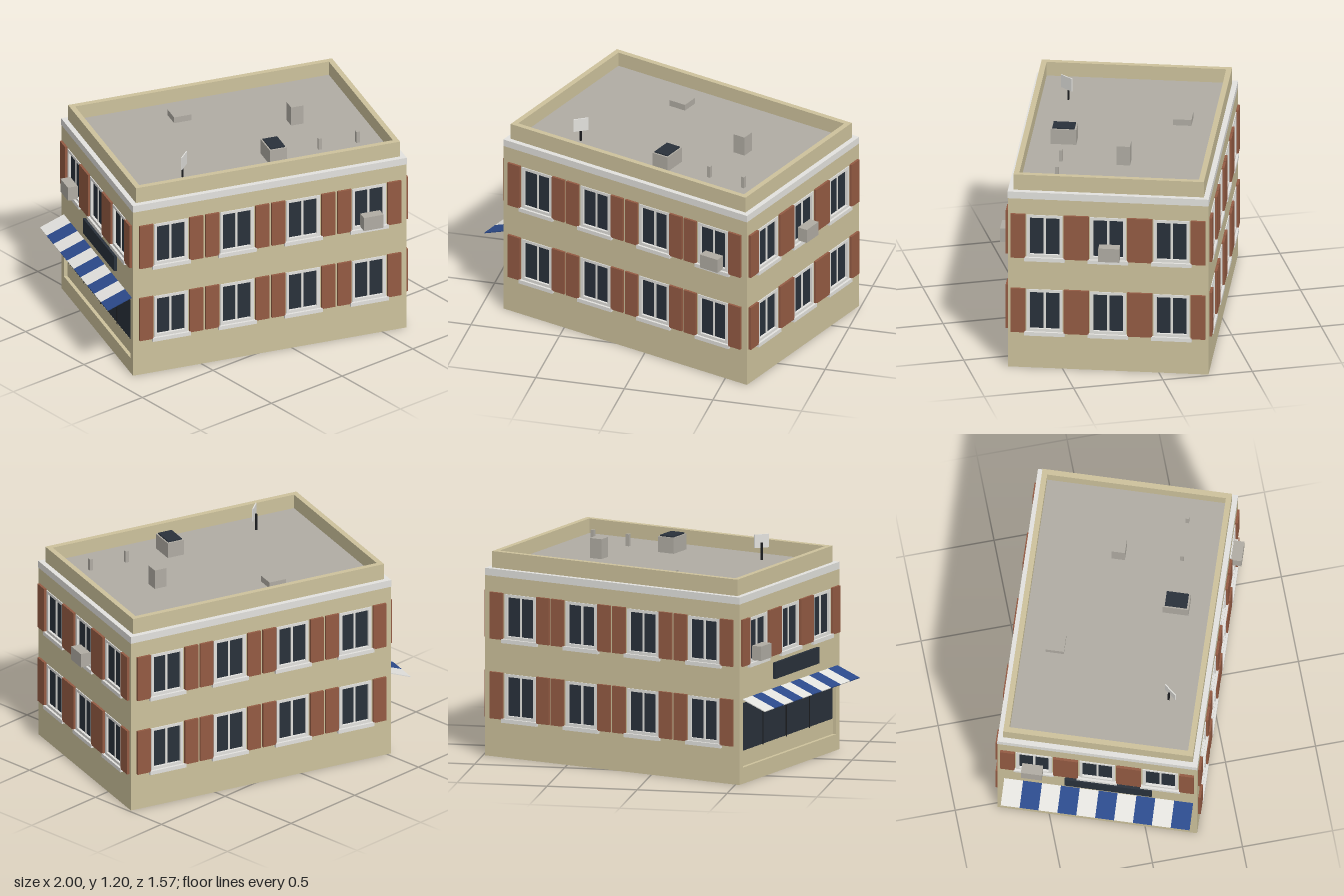
import * as THREE from 'three';

const mat = (name, color) => {
  const m = new THREE.MeshStandardMaterial({ color });
  m.name = name;
  return m;
};

export function createModel() {
  const wall = mat('sandstone wall', 0xcdc29c);
  const trim = mat('pale trim', 0xe3e2de);
  const shutter = mat('brick red shutter', 0x945b43);
  const glass = mat('dark glass', 0x29313b);
  const roof = mat('grey roof', 0xb0aca4);
  const metal = mat('vent metal', 0xb0aca3);
  const blue = mat('awning blue', 0x2c4a8b);
  const dark = mat('dark iron', 0x1c1d20);

  const L = 1.596, W = 1.1, T = 0.03, hx = L / 2, hz = W / 2;
  const winW = 0.196, winH = 0.25;
  const building = new THREE.Group();
  building.name = 'building';

  const box = (parent, name, m, w, h, d, x, y, z) => {
    const mesh = new THREE.Mesh(new THREE.BoxGeometry(w, h, d), m);
    mesh.position.set(x, y, z);
    mesh.name = name;
    parent.add(mesh);
    return mesh;
  };
  const rect = (C, x0, y0, x1, y1) => {
    const s = new C();
    s.moveTo(x0, y0);
    s.lineTo(x1, y0);
    s.lineTo(x1, y1);
    s.lineTo(x0, y1);
    s.closePath();
    return s;
  };
  const extrude = (parent, name, m, outer, holes, depth) => {
    outer.holes.push(...holes);
    const mesh = new THREE.Mesh(new THREE.ExtrudeGeometry(outer, { depth, bevelEnabled: false }), m);
    mesh.name = name;
    parent.add(mesh);
    return mesh;
  };

  // Floor slab, cornice, parapet and flat roof
  box(building, 'floorSlab', wall, L - 2 * T, 0.02, W - 2 * T, 0, 0.19, 0);
  box(building, 'cornice', trim, L + 0.002, 0.04, W + 0.002, 0, 1.025, 0);
  const px = hx - 0.028, pz = hz - 0.028;
  const parapet = extrude(building, 'parapet', wall, rect(THREE.Shape, -px, -pz, px, pz),
    [rect(THREE.Path, -px + T, -pz + T, px - T, pz - T)], 0.095);
  parapet.rotation.x = -Math.PI / 2;
  parapet.position.y = 1.041;
  box(building, 'roofDeck', roof, 2 * (px - T), 0.015, 2 * (pz - T), 0, 1.0475, 0);

  // One recessed window with frame, panes, sill and a pair of shutters
  const addWindow = (facade, x, y) => {
    const g = new THREE.Group();
    g.name = 'window';
    g.position.set(x, y, 0);
    facade.add(g);
    box(g, 'pane', glass, winW, winH, 0.008, 0, winH / 2, -0.013);
    for (const s of [-1, 1]) {
      box(g, 'frameSide', trim, 0.017, winH, 0.02, s * (winW / 2 - 0.0085), winH / 2, -0.005);
      box(g, 'shutter', shutter, 0.08, 0.26, 0.014, s * 0.1455, winH / 2, 0.008);
    }
    for (const b of [0.008, winH - 0.008]) box(g, 'frameRail', trim, winW - 0.034, 0.016, 0.02, 0, b, -0.005);
    box(g, 'mullion', trim, 0.012, winH - 0.03, 0.006, 0, winH / 2, -0.008);
    box(g, 'sill', trim, 0.222, 0.022, 0.018, 0, -0.011, 0.009);
  };

  const addCooler = (facade, x) =>
    box(facade, 'airConditioner', metal, 0.115, 0.08, 0.058, x, 0.712, 0.029);

  // Facades: local x runs along the wall, z points outward
  const makeFacade = (name, angle, dist, width, count, pitch, floors, extraHoles) => {
    const f = new THREE.Group();
    f.name = name;
    f.rotation.y = angle;
    f.position.set(Math.sin(angle) * dist, 0, Math.cos(angle) * dist);
    building.add(f);
    const holes = [...extraHoles];
    for (const y of floors)
      for (let i = 0; i < count; i++) {
        const x = (i - (count - 1) / 2) * pitch;
        addWindow(f, x, y);
        holes.push(rect(THREE.Path, x - winW / 2, y, x + winW / 2, y + winH));
      }
    extrude(f, 'wall', wall, rect(THREE.Shape, -width / 2, 0, width / 2, 1.006), holes, T).position.z = -T;
    return f;
  };
  const low = 0.218, high = 0.662, sideW = W - 2 * T;
  const shopHole = rect(THREE.Path, -0.512, 0.09, 0.512, 0.45);
  const front = makeFacade('frontFacade', 0, hz, L, 4, 0.385, [low, high], []);
  const right = makeFacade('sideFacade', Math.PI / 2, hx, W, 3, 0.348, [low, high], []);
  makeFacade('backFacade', Math.PI, hz, L, 4, 0.385, [low, high], []);
  const shop = makeFacade('shopFacade', -Math.PI / 2, hx, W, 3, 0.348, [high], [shopHole]);
  addCooler(front, 0.585);
  addCooler(right, 0.009);
  addCooler(shop, -0.355);

  // Recessed shop window band and sign board
  box(shop, 'shopRiser', wall, sideW, 0.09, 0.012, 0, 0.13, -0.026);
  box(shop, 'shopGlass', glass, sideW, 0.29, 0.008, 0, 0.31, -0.025);
  for (const x of [-0.255, 0, 0.255]) box(shop, 'shopMullion', dark, 0.006, 0.28, 0.006, x, 0.31, -0.02);
  box(shop, 'signBoard', glass, 0.48, 0.09, 0.016, 0.062, 0.57, 0.008);

  // Striped awning
  const awning = new THREE.Group();
  awning.name = 'awning';
  awning.position.set(0.008, 0.443, 0.069);
  awning.rotation.x = 0.37;
  shop.add(awning);
  for (let i = 0; i < 10; i++)
    box(awning, 'awningStripe', i % 2 ? blue : trim, 0.104, 0.005, 0.15, (i - 4.5) * 0.104, 0, 0);

  // Roof equipment
  const onRoof = (name, m, w, top, d, x, z) =>
    box(building, name, m, w, top - 1.05, d, x, (top + 1.05) / 2, z);
  onRoof('skylightCurb', metal, 0.1, 1.143, 0.142, 0.115, 0.31);
  box(building, 'skylightGlass', glass, 0.084, 0.008, 0.122, 0.115, 1.146, 0.31);
  onRoof('roofHatch', metal, 0.1, 1.09, 0.1, -0.2, -0.311);
  onRoof('chimneyVent', metal, 0.073, 1.166, 0.073, 0.373, -0.044);
  onRoof('ventPipe', metal, 0.02, 1.122, 0.02, 0.386, 0.301);
  onRoof('ventPipe', metal, 0.02, 1.122, 0.02, 0.607, 0.299);
  onRoof('antennaPost', dark, 0.01, 1.15, 0.01, -0.43, 0.342);
  const panel = box(building, 'antennaPanel', trim, 0.084, 0.075, 0.006, -0.424, 1.158, 0.35);
  panel.rotation.y = 0.87;

  // The block stands at an angle
  building.rotation.y = -THREE.MathUtils.degToRad(18.75);
  building.position.set(0.0555, 0, 0.007);
  const model = new THREE.Group();
  model.name = 'cornerShopBuilding';
  model.add(building);
  return model;
}
